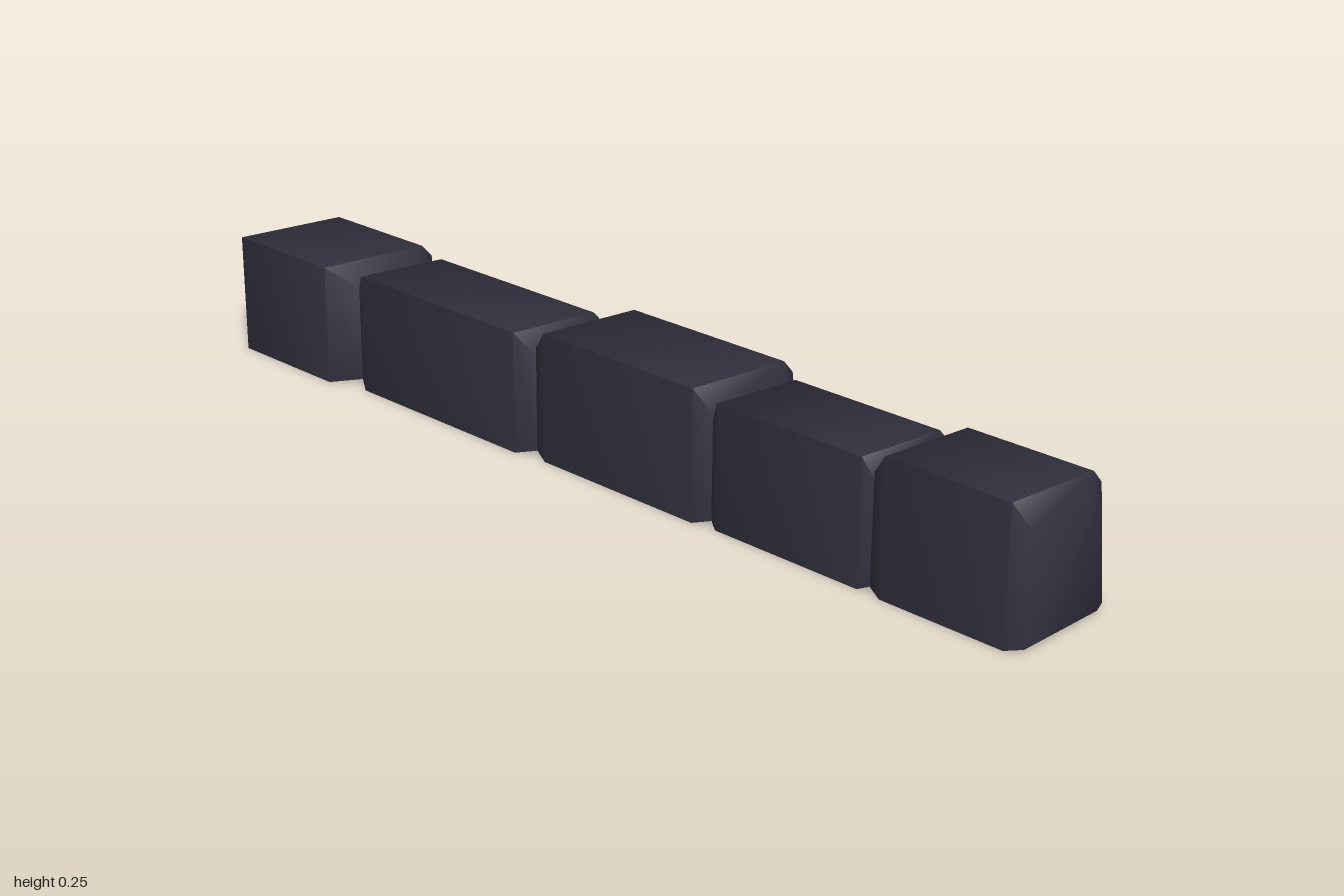
import * as THREE from 'three';
import { toCreasedNormals } from 'three/addons/utils/BufferGeometryUtils.js';

// Each stone: z of back and front, left x, right x at the base, top height,
// then bevels of the back and front ends as [left inset, right inset, depth]
const STONES = [
  { z: [0.69, 1], xl: -0.118, xr: 0.138, h: 0.253, back: [0.012, 0.02, 0.03], front: [0.014, 0.037, 0.03] },
  { z: [0.33, 0.69], xl: -0.115, xr: 0.129, h: 0.236, back: [0.012, 0.02, 0.02], front: [0.012, 0.015, 0.02] },
  { z: [-0.11, 0.33], xl: -0.122, xr: 0.153, h: 0.251, back: [0.014, 0.046, 0.035], front: [0.016, 0.026, 0.03] },
  { z: [-0.62, -0.11], xl: -0.132, xr: 0.116, h: 0.237, back: [0.022, 0.014, 0.035], front: [0.022, 0.014, 0.035] },
  { z: [-1, -0.62], xl: -0.155, xr: 0.138, h: 0.24, back: [0.047, 0.035, 0.06], front: [0.047, 0.035, 0.05] },
];

// Cross-section: square left edge, leaning and chamfered right side
function ring(xl, xr, y0, h, z) {
  return [
    [xl, y0, z], [xr - 0.013, y0, z], [xr, y0 + 0.01, z],
    [xr - 0.02, h - 0.038, z], [xr - 0.044, h - 0.012, z], [xl, h, z],
  ];
}

function stoneGeometry({ z: [zb, zf], xl, xr, h, back, front }) {
  const drop = 0.04, lift = 0.008;
  const rings = [
    ring(xl + back[0], xr - back[1], lift, h - drop, zb),
    ring(xl, xr, 0, h, zb + back[2]),
    ring(xl, xr, 0, h, zf - front[2]),
    ring(xl + front[0], xr - front[1], lift, h - drop, zf),
  ];
  const n = rings[0].length, last = (rings.length - 1) * n, index = [];
  for (let r = 0; r < rings.length - 1; r++) {
    for (let i = 0; i < n; i++) {
      const a = r * n + i, b = r * n + (i + 1) % n;
      index.push(a, b, b + n, a, b + n, a + n);
    }
  }
  // End caps
  for (let i = 1; i < n - 1; i++) {
    index.push(0, i + 1, i, last, last + i, last + i + 1);
  }
  const geometry = new THREE.BufferGeometry();
  geometry.setAttribute('position', new THREE.Float32BufferAttribute(rings.flat(2), 3));
  geometry.setIndex(index);
  return toCreasedNormals(geometry, 1.3);
}

export function createModel() {
  const model = new THREE.Group();
  model.name = 'kerbStones';
  const stone = new THREE.MeshStandardMaterial({ color: 0x32303e });
  stone.name = 'darkStone';
  STONES.forEach((s, i) => {
    const mesh = new THREE.Mesh(stoneGeometry(s), stone);
    mesh.name = `kerbStone${i + 1}`;
    model.add(mesh);
  });
  return model;
}
